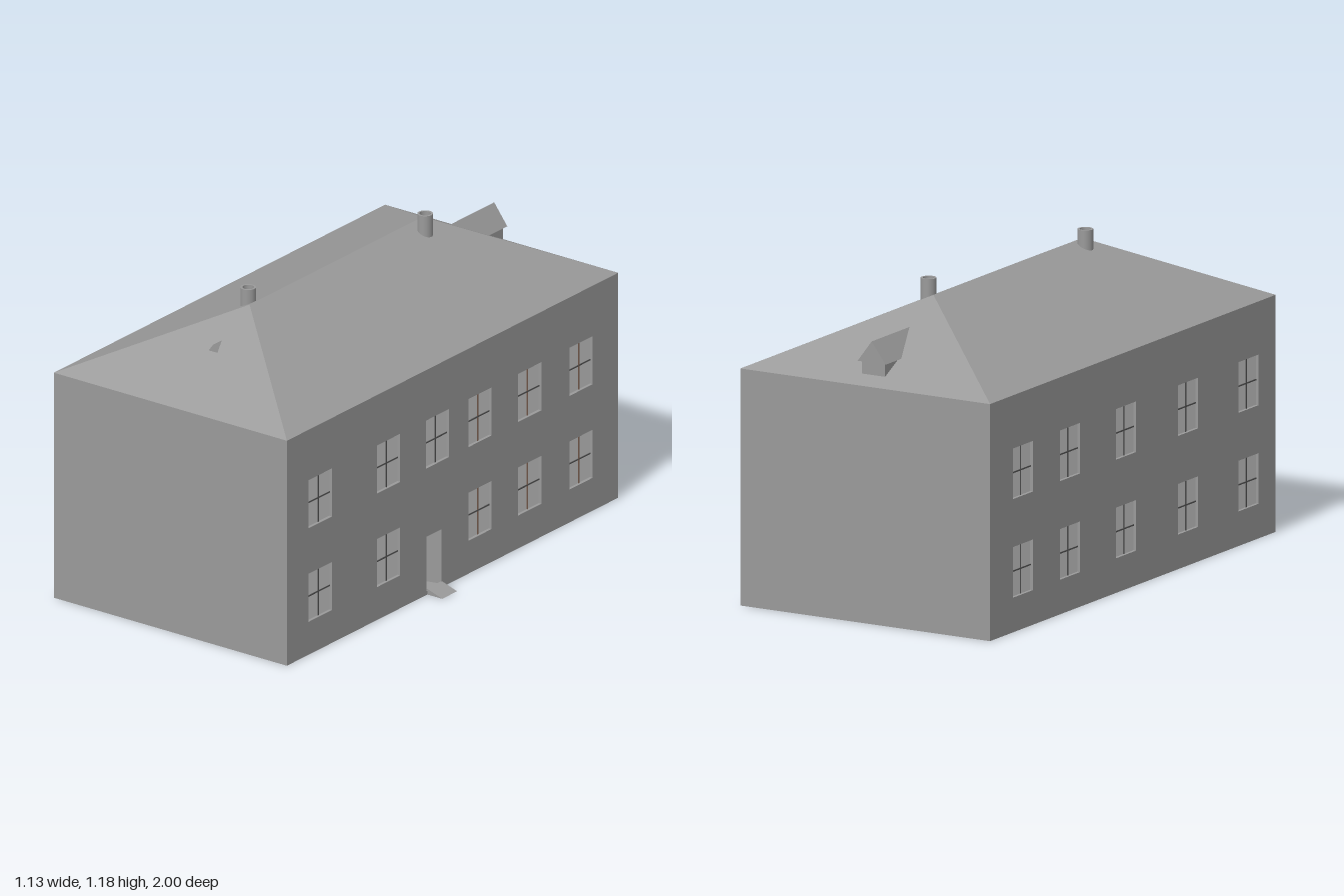
import * as THREE from 'three';

const CX = -0.0335;           // centre line of the house
const HALF_W = 0.534;         // half width at the eaves
const WALL_H = 0.87, EAVE_H = 0.89, RIDGE_H = 1.135;
const INSET = 0.001, THICK = 0.03;
const WIN_W = 0.14, WIN_H = 0.19, WIN_ROWS = [0.225, 0.595];
const DOOR = { z: 0.111, w: 0.09, y0: 0.015, y1: 0.23 };

const stone = new THREE.MeshStandardMaterial({ color: 0x9a9a9a, flatShading: true });
const stoneSmooth = new THREE.MeshStandardMaterial({ color: 0x9a9a9a });
const glass = new THREE.MeshStandardMaterial({ color: 0xcccccc });
const darkBar = new THREE.MeshStandardMaterial({ color: 0x555555 });
const wood = new THREE.MeshStandardMaterial({ color: 0x7a5f50 });

function add(parent, name, geometry, material, x = 0, y = 0, z = 0) {
  const mesh = new THREE.Mesh(geometry, material);
  mesh.name = name;
  mesh.position.set(x, y, z);
  parent.add(mesh);
}

const box = (w, h, d) => new THREE.BoxGeometry(w, h, d);

function rectHole(u, y0, w, h) {
  const p = new THREE.Path();
  p.moveTo(u - w / 2, y0);
  p.lineTo(u - w / 2, y0 + h);
  p.lineTo(u + w / 2, y0 + h);
  p.lineTo(u + w / 2, y0);
  p.closePath();
  return p;
}

// Long wall with recessed windows; sign +1 is the door side
function longWall(sign, windows, hasDoor) {
  const wall = new THREE.Group();
  wall.name = sign > 0 ? 'doorSideWall' : 'plainSideWall';
  wall.rotation.y = sign * Math.PI / 2;
  wall.position.x = CX + sign * (HALF_W - INSET - THICK);

  const L = 1 - INSET;
  const shape = new THREE.Shape();
  shape.moveTo(-L, 0);
  shape.lineTo(L, 0);
  shape.lineTo(L, WALL_H);
  shape.lineTo(-L, WALL_H);
  shape.closePath();

  for (const [z, y] of windows) {
    const u = -sign * z;
    shape.holes.push(rectHole(u, y - WIN_H / 2, WIN_W, WIN_H));
    const win = new THREE.Group();
    win.name = 'window';
    win.position.set(u, y, THICK - 0.016);
    add(win, 'pane', box(WIN_W, WIN_H, 0.008), glass);
    add(win, 'verticalBar', box(0.005, WIN_H, 0.006), sign > 0 && z < 0 ? wood : darkBar, 0, 0, 0.004);
    add(win, 'horizontalBar', box(WIN_W, 0.005, 0.006), darkBar, 0, 0, 0.004);
    wall.add(win);
  }
  if (hasDoor) shape.holes.push(rectHole(-sign * DOOR.z, DOOR.y0, DOOR.w, DOOR.y1 - DOOR.y0));
  add(wall, 'wallPanel', new THREE.ExtrudeGeometry(shape, { depth: THICK, bevelEnabled: false }), stone);
  return wall;
}

// Hipped roof: four eave corners and a two-point ridge
function hippedRoof() {
  const x0 = CX - HALF_W, x1 = CX + HALF_W;
  const a = [x0, EAVE_H, 1], b = [x1, EAVE_H, 1], c = [x1, EAVE_H, -1], d = [x0, EAVE_H, -1];
  const f = [CX, RIDGE_H, 0.522], r = [CX, RIDGE_H, -0.522];
  const tris = [a, b, f, b, c, r, b, r, f, c, d, r, d, a, f, d, f, r];
  const g = new THREE.BufferGeometry();
  g.setAttribute('position', new THREE.Float32BufferAttribute(tris.flat(), 3));
  g.computeVertexNormals();
  return g;
}

export function createModel() {
  const house = new THREE.Group();
  house.name = 'house';

  // Walls
  const grid = zs => zs.flatMap(z => WIN_ROWS.map(y => [z, y]));
  const rightWindows = grid([0.797, 0.385, -0.167, -0.467, -0.777]);
  rightWindows.push([0.09, WIN_ROWS[1]]);           // single window above the door
  house.add(longWall(1, rightWindows, true));
  house.add(longWall(-1, grid([0.812, 0.388, -0.045, -0.438, -0.768]), false));
  const innerW = 2 * (HALF_W - INSET - THICK);
  for (const s of [1, -1]) {
    add(house, s > 0 ? 'frontWall' : 'backWall', box(innerW, WALL_H, THICK), stone,
      CX, WALL_H / 2, s * (1 - INSET - THICK / 2));
  }
  add(house, 'floor', box(innerW, 0.015, 2 - 2 * (INSET + THICK)), stone, CX, 0.0075, 0);

  // Roof with a thin eave band
  add(house, 'eaveBand', box(2 * HALF_W, 0.03, 2), stone, CX, EAVE_H - 0.015, 0);
  add(house, 'roof', hippedRoof(), stone);

  // Gable roof running through both hips, with a small dormer wall at the back
  const gable = new THREE.Shape();
  gable.moveTo(-0.06, 0.969);
  gable.lineTo(0.06, 0.969);
  gable.lineTo(0, 1.049);
  gable.closePath();
  add(house, 'dormerRoof', new THREE.ExtrudeGeometry(gable, { depth: 1.697, bevelEnabled: false }),
    stone, CX, 0, -0.955);
  add(house, 'dormerWall', box(0.1, 0.09, 0.2), stone, CX, 0.93, -0.842);

  // Hollow round chimneys
  const profile = [[0.021, 1.0], [0.029, 1.0], [0.029, 1.182], [0.021, 1.182], [0.021, 1.0]];
  for (const [x, z] of [[-0.07, 0.482], [0.022, -0.465]]) {
    const chimney = new THREE.Group();
    chimney.name = 'chimney';
    chimney.position.set(x, 0, z);
    for (let i = 0; i < 4; i++) {
      const pts = [profile[i], profile[i + 1]].map(p => new THREE.Vector2(...p));
      add(chimney, 'chimneySurface', new THREE.LatheGeometry(pts, 24), stoneSmooth);
    }
    house.add(chimney);
  }

  // Door leaf swung wide open into the hall
  const wallX = CX + HALF_W - INSET;
  const hinge = new THREE.Group();
  hinge.name = 'door';
  hinge.position.set(wallX - 0.01, 0, DOOR.z - DOOR.w / 2);
  hinge.rotation.y = -1.33;
  const h = DOOR.y1 - DOOR.y0;
  add(hinge, 'doorLeaf', box(0.008, h, DOOR.w), stone, 0, DOOR.y0 + h / 2, DOOR.w / 2);
  house.add(hinge);

  // Sloping doorstep
  const ramp = new THREE.Shape();
  ramp.moveTo(wallX - 0.005, 0);
  ramp.lineTo(0.5675, 0);
  ramp.lineTo(wallX, 0.022);
  ramp.lineTo(wallX - 0.005, 0.022);
  ramp.closePath();
  add(house, 'doorRamp', new THREE.ExtrudeGeometry(ramp, { depth: 0.09, bevelEnabled: false }),
    stone, 0, 0, DOOR.z - 0.05);

  return house;
}
